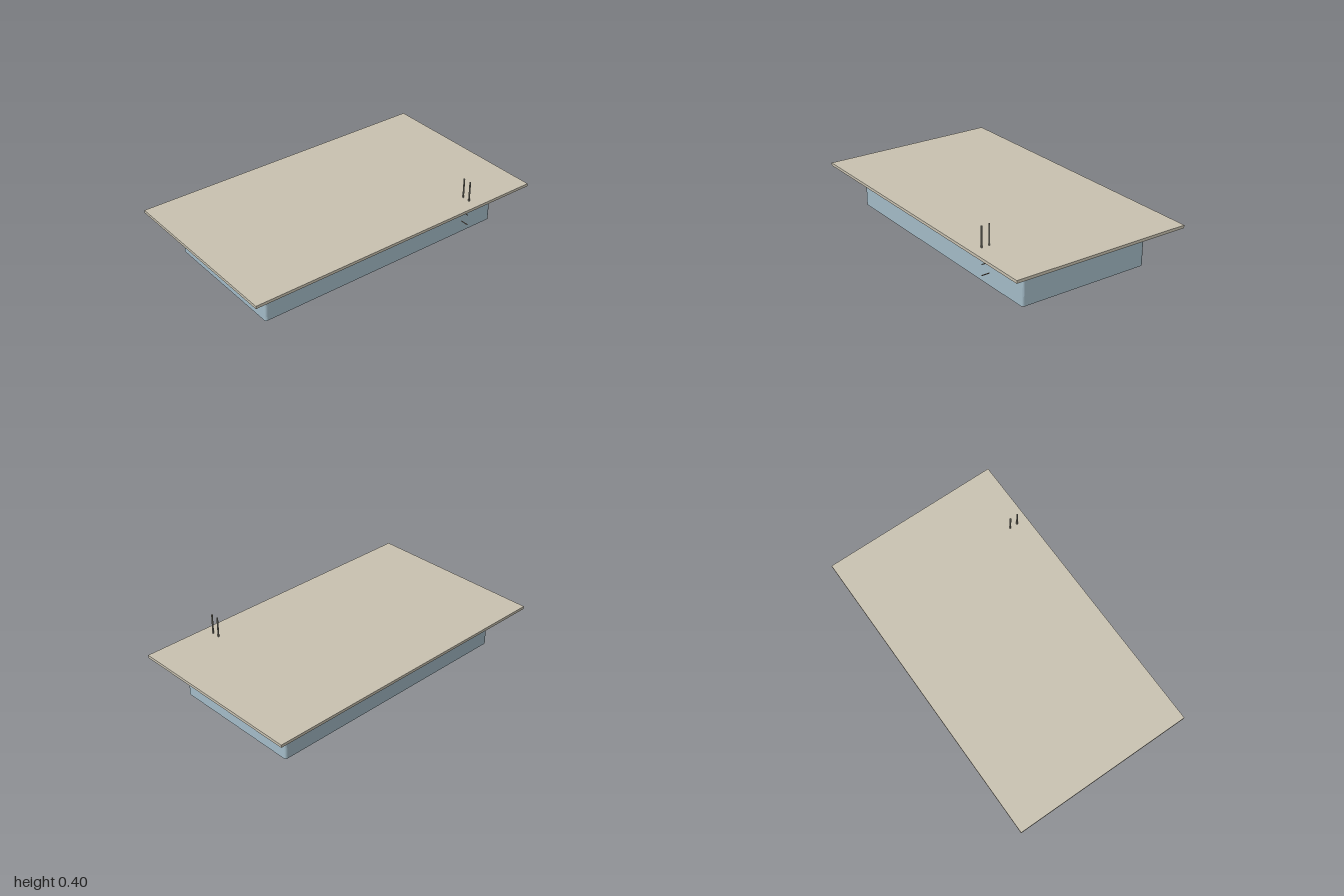
import * as THREE from 'three';

function material(name, color) {
  const m = new THREE.MeshStandardMaterial({ color });
  m.name = name;
  return m;
}

// Rectangle in plan with rounded corners
function roundedRect(halfX, halfZ, r) {
  const s = new THREE.Shape();
  s.absarc(halfX - r, halfZ - r, r, 0, Math.PI / 2);
  s.absarc(-halfX + r, halfZ - r, r, Math.PI / 2, Math.PI);
  s.absarc(-halfX + r, -halfZ + r, r, Math.PI, Math.PI * 1.5);
  s.absarc(halfX - r, -halfZ + r, r, Math.PI * 1.5, Math.PI * 2);
  s.closePath();
  return s;
}

export function createModel() {
  const model = new THREE.Group();
  model.name = 'poolWithDeck';
  const stone = material('sandStone', 0xcac3b2);
  const blue = material('poolBlue', 0xa5bdc9);
  const steel = material('railSteel', 0x8a887b);
  const bronze = material('rungBronze', 0x86776a);

  const add = (parent, name, geometry, mat, x, y, z) => {
    const mesh = new THREE.Mesh(geometry, mat);
    mesh.name = name;
    mesh.position.set(x, y, z);
    parent.add(mesh);
    return mesh;
  };

  // Basin standing on the ground, with small rounded corners
  const deckBottom = 0.253, deckTop = 0.271;
  const basin = new THREE.ExtrudeGeometry(roundedRect(0.43, 0.845, 0.015), {
    depth: deckBottom, bevelEnabled: false, curveSegments: 2,
  });
  basin.rotateX(-Math.PI / 2);
  add(model, 'basin', basin, blue, 0, 0, 0);

  // Overhanging deck slab
  add(model, 'deck', new THREE.BoxGeometry(1.166, deckTop - deckBottom, 2), stone,
    0, (deckTop + deckBottom) / 2, 0);

  // Ladder: two upright rails and three rungs
  const ladder = new THREE.Group();
  ladder.name = 'ladder';
  ladder.position.set(0.484, 0, -0.58);
  model.add(ladder);
  const rail = new THREE.CylinderGeometry(0.005, 0.005, 0.2, 12);
  for (const side of [-1, 1]) {
    add(ladder, side > 0 ? 'leftRail' : 'rightRail', rail, steel, side * 0.025, 0.3, 0);
  }
  const rung = new THREE.CylinderGeometry(0.003, 0.003, 0.05, 8);
  rung.rotateZ(Math.PI / 2);
  [0.102, 0.169, 0.236].forEach((y, i) => add(ladder, `rung${i + 1}`, rung, bronze, 0, y, 0));

  return model;
}
